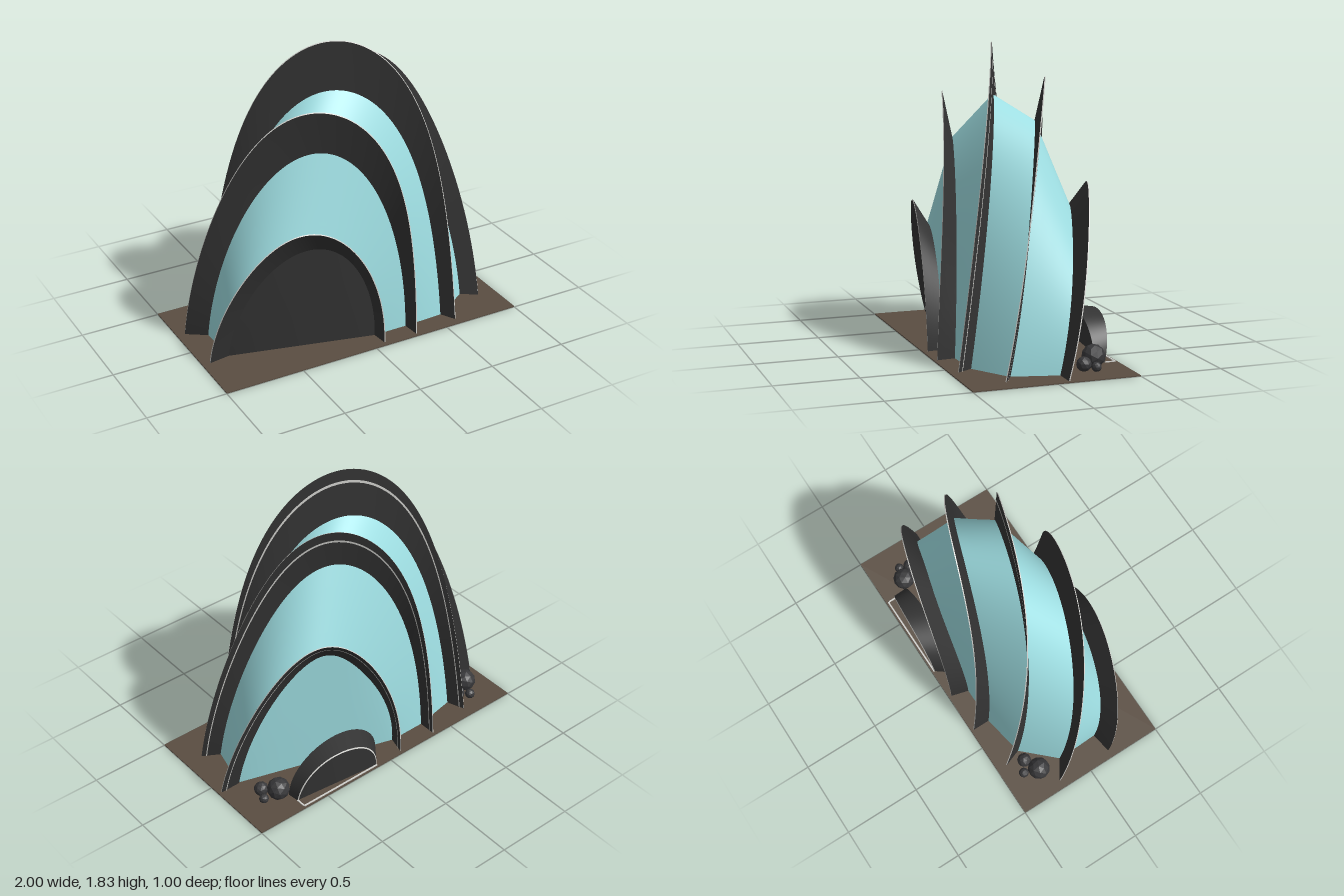
import * as THREE from 'three';

const mat = (name, color, side = THREE.DoubleSide) => {
  const m = new THREE.MeshStandardMaterial({ color, side });
  m.name = name;
  return m;
};

const BASE = 0.005;
const X_NODES = [1, Math.SQRT1_2, 0, -Math.SQRT1_2, -1];
const Z_NODES = [1, 0, -1];

// Smooth polynomial through the given values at the given nodes
const through = (nodes, values, s) => nodes.reduce((sum, ni, i) =>
  sum + nodes.reduce((w, nj, j) => (j === i ? w : w * (s - nj) / (ni - nj)), values[i]), 0);

// Arch curve, right foot (t = 0) to left foot (t = PI):
// x at five even angles, z at right foot, crown and left foot, turning evenly with t
const arch = (height, xs, zs) => (t) => new THREE.Vector3(
  through(X_NODES, xs, Math.cos(t)),
  BASE + (height - BASE) * Math.sin(t),
  through(Z_NODES, zs, 1 - 2 * t / Math.PI));

// Straight chord on the ground between the feet of an arch
const chord = (curve) => (t) =>
  curve(0).lerp(curve(Math.PI), (1 - Math.cos(t)) / 2).setY(BASE);

// Ruled surface between two curves over t = 0..PI
function loft(a, b, rows = 1, n = 72) {
  const pos = [], idx = [];
  for (let i = 0; i <= n; i++) {
    const t = Math.PI * i / n, pa = a(t), pb = b(t);
    for (let j = 0; j <= rows; j++) pos.push(...pa.clone().lerp(pb, j / rows).toArray());
  }
  for (let i = 0; i < n; i++) for (let j = 0; j < rows; j++) {
    const k = i * (rows + 1) + j, l = k + rows + 1;
    idx.push(k, k + 1, l, k + 1, l + 1, l);
  }
  const g = new THREE.BufferGeometry();
  g.setAttribute('position', new THREE.Float32BufferAttribute(pos, 3));
  g.setIndex(idx);
  g.computeVertexNormals();
  return g;
}

// Curve lying on a fin: f = 0 at the rim, 1 at the inner edge, d = distance behind the front face
function onFin(fin, f, d) {
  return (t) => {
    const at = (s) => fin.outer(s).lerp(fin.inner(s), f);
    const tangent = at(t + 0.01).sub(at(t - 0.01));
    const radial = fin.outer(t).sub(fin.inner(t));
    return at(t).addScaledVector(tangent.cross(radial).normalize(), d);
  };
}

// Fins from front to back; stripe marks those with a light line on the back face
const FINS = [
  { outer: arch(0.84, [0.07, -0.08, -0.42, -0.77, -0.95], [0.47, 0.41, 0.17]),
    inner: arch(0.69, [0.06, -0.06, -0.35, -0.67, -0.82], [0.37, 0.33, 0.15]) },
  { outer: arch(1.52, [0.29, 0.175, -0.29, -0.75, -0.95], [0.48, 0.26, -0.2]),
    inner: arch(1.24, [0.28, 0.13, -0.25, -0.65, -0.83], [0.37, 0.21, -0.12]) },
  { outer: arch(1.83, [0.59, 0.46, -0.04, -0.535, -0.68], [0.45, 0.03, -0.43]), stripe: true,
    inner: arch(1.52, [0.54, 0.4, -0.04, -0.48, -0.64], [0.36, 0.02, -0.32]) },
  { outer: arch(1.64, [0.88, 0.67, 0.25, -0.22, -0.37], [0.27, -0.2, -0.48]), stripe: true,
    inner: arch(1.38, [0.78, 0.58, 0.2, -0.2, -0.37], [0.21, -0.16, -0.37]) },
  { outer: arch(1.04, [0.98, 0.79, 0.45, 0.1, -0.1], [-0.07, -0.39, -0.48]), stripe: true,
    inner: arch(0.9, [0.85, 0.68, 0.38, 0.09, -0.13], [-0.07, -0.31, -0.37]) },
];

export function createModel() {
  const dark = mat('charcoal', 0x343434);
  const glass = mat('pale teal', 0x9fdfe3);
  const light = mat('light trim', 0xcfcfcb);
  const earth = mat('brown ground', 0x5a4d41, THREE.FrontSide);
  const rock = mat('rock grey', 0x38383a, THREE.FrontSide);
  rock.flatShading = true;

  const model = new THREE.Group();
  model.name = 'shellPavilion';
  const add = (name, geometry, material, parent = model) => {
    const m = new THREE.Mesh(geometry, material);
    m.name = name;
    parent.add(m);
    return m;
  };

  // Ground plate
  add('groundPlate', new THREE.BoxGeometry(2, 0.006, 1), earth).position.y = 0.003;

  // Fins with a light bevelled rim
  const back = 0.006;
  FINS.forEach((fin, i) => {
    const g = new THREE.Group();
    g.name = `fin${i + 1}`;
    model.add(g);
    add('finFront', loft(fin.outer, fin.inner, 2), dark, g);
    add('finBack', loft(onFin(fin, 0, back), onFin(fin, 1, back), 2), dark, g);
    add('finRim', loft(fin.outer, onFin(fin, -0.012, back)), light, g);
    if (fin.stripe)
      add('finStripe', loft(onFin(fin, 0.22, back + 0.004), onFin(fin, 0.275, back + 0.004)), light, g);
  });

  // Glazed shell spanning neighbouring fins
  for (let i = 0; i < FINS.length - 1; i++)
    add(`shell${i + 1}`, loft(FINS[i].inner, FINS[i + 1].inner, 4), glass);

  // End walls closing the first and last arch, straight along the ground
  add('frontWall', loft(FINS[0].inner, chord(FINS[0].inner), 3), dark);
  add('backWall', loft(FINS[4].inner, chord(FINS[4].inner), 3), glass);

  // Entrance canopy at the back with a closed dark doorway
  const lip = arch(0.27, [0.67, 0.6, 0.4, 0.18, 0.1], [-0.42, -0.48, -0.48]);
  const rear = arch(0.28, [0.68, 0.58, 0.34, 0.1, 0], [-0.35, -0.35, -0.35]);
  const trim = arch(0.262, [0.663, 0.594, 0.4, 0.186, 0.108], [-0.423, -0.484, -0.484]);
  add('canopy', loft(lip, rear, 2), dark);
  add('canopyEdge', loft(lip, trim), light);
  add('doorway', loft(lip, chord(lip), 2), dark);
  add('doorSill', new THREE.BoxGeometry(0.57, 0.006, 0.01), light).position.set(0.385, 0.008, -0.485);
  add('doorSillSide', new THREE.BoxGeometry(0.01, 0.006, 0.06), light).position.set(0.67, 0.008, -0.45);

  // Boulder clusters: x, z, radius
  [[0.735, -0.32, 0.07], [0.8, -0.235, 0.045], [0.83, -0.3, 0.03],
   [-0.82, -0.28, 0.07], [-0.72, -0.325, 0.045], [-0.785, -0.37, 0.032]].forEach(([x, z, r], i) => {
    const b = add(`boulder${i + 1}`, new THREE.IcosahedronGeometry(r, 1), rock);
    b.position.set(x, r, z);
    b.rotation.set(0.55, i * 0.9, 0);
  });

  return model;
}
